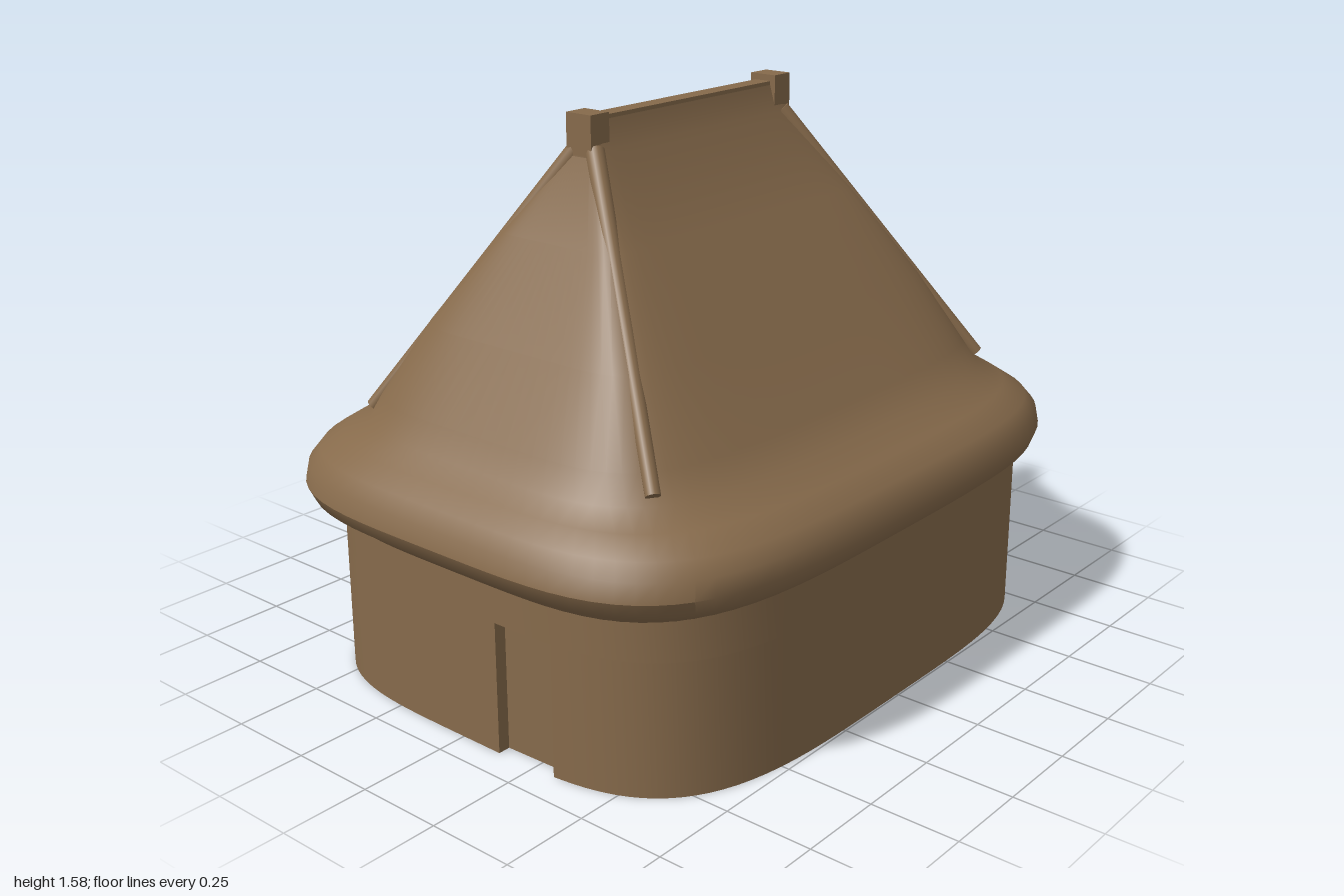
import * as THREE from 'three';
import { toCreasedNormals } from 'three/addons/utils/BufferGeometryUtils.js';

const clay = new THREE.MeshStandardMaterial({ color: 0x866a4b });
clay.name = 'brown clay';

// Point on a rounded rectangle: side 0 front, 1 +x, 2 back, 3 -x; p runs -1..1 along it
function outline(side, p, hw, hd, n) {
  const [u, v] = [[p, 1], [1, -p], [-p, -1], [-1, p]][side];
  const s = 1 / Math.pow(Math.abs(u) ** n + Math.abs(v) ** n, 1 / n);
  return [u * s * hw, v * s * hd];
}

// Extruded wall whose outline is cut by door recesses [side, start, end]
function wallGeometry(y0, y1, doors) {
  const inward = [[0, -1], [-1, 0], [0, 1], [1, 0]];
  const depth = 0.035;
  const shapePoints = [];
  for (let side = 0; side < 4; side++) {
    const cuts = doors.filter(d => d[0] === side);
    const stops = [];
    for (let i = 0; i < 32; i++) {
      const p = -1 + i / 16;
      if (!cuts.some(([, a, b]) => p >= a && p <= b)) stops.push([p, 0]);
    }
    for (const [, a, b] of cuts) stops.push([a, 0], [a, depth], [b, depth], [b, 0]);
    stops.sort((s, t) => s[0] - t[0]);
    for (const [p, inset] of stops) {
      const [x, z] = outline(side, p, 0.73, 0.915, 4);
      shapePoints.push(new THREE.Vector2(x + inward[side][0] * inset + 0.015, -(z + inward[side][1] * inset)));
    }
  }
  const g = new THREE.ExtrudeGeometry(new THREE.Shape(shapePoints), { depth: y1 - y0, bevelEnabled: false });
  g.rotateX(-Math.PI / 2).translate(0, y0, 0);
  return toCreasedNormals(g, 0.5);
}

// Skin over rounded-rectangle rings [y, half width, half depth, squareness]
function roofGeometry(rings, perSide = 24) {
  const count = perSide * 4, pos = [], index = [];
  rings.forEach(([y, hw, hd, n], r) => {
    for (let j = 0; j < count; j++) {
      const [x, z] = outline(Math.floor(j / perSide), -1 + 2 * (j % perSide) / perSide, hw, hd, n);
      pos.push(x - 0.012 * r / rings.length, y, z);
    }
    if (r === 0) return;
    for (let j = 0; j < count; j++) {
      const k = (j + 1) % count, a = (r - 1) * count, b = r * count;
      index.push(a + j, a + k, b + k, a + j, b + k, b + j);
    }
  });
  const g = new THREE.BufferGeometry();
  g.setAttribute('position', new THREE.Float32BufferAttribute(pos, 3));
  g.setIndex(index);
  return toCreasedNormals(g, 0.6);
}

export function createModel() {
  const model = new THREE.Group();
  const add = (name, geometry, x = 0, y = 0, z = 0, parent = model) => {
    const m = new THREE.Mesh(geometry, clay);
    m.name = name;
    m.position.set(x, y, z);
    parent.add(m);
    return m;
  };

  // Walls: lower band with door recesses, plain band above
  const doors = [
    [0, 0.16, 0.42],
    [2, -0.14, 0.02],
    [3, -0.48, -0.28], [3, -0.13, 0.08], [3, 0.24, 0.38],
  ];
  add('lowerWall', wallGeometry(0, 0.37, doors));
  add('upperWall', wallGeometry(0.37, 0.52, []));

  // Thatched roof: rounded eave, then hips that sharpen toward the ridge
  add('roof', roofGeometry([
    [0.46, 0.72, 0.905, 4],
    [0.49, 0.745, 0.94, 4],
    [0.52, 0.78, 0.982, 4],
    [0.56, 0.793, 1.0, 4],
    [0.61, 0.787, 0.988, 4],
    [0.65, 0.76, 0.958, 4],
    [0.69, 0.70, 0.908, 4],
    [0.73, 0.615, 0.855, 4.2],
    [0.80, 0.555, 0.81, 5],
    [1.0, 0.402, 0.685, 8],
    [1.25, 0.215, 0.535, 14],
    [1.47, 0.045, 0.415, 30],
    [1.55, 0.022, 0.40, 30],
    [1.552, 0.001, 0.38, 30],
  ]));

  // Ridge beam with a post at each end
  add('ridgeBeam', new THREE.BoxGeometry(0.052, 0.08, 0.76), -0.014, 1.52, 0);
  for (const s of [1, -1]) {
    add('ridgePost', new THREE.BoxGeometry(0.086, 0.12, 0.07), -0.014, s > 0 ? 1.51 : 1.518, s * 0.386);
    const foot = new THREE.CylinderGeometry(0.058, 0.075, 0.07, 4).rotateY(Math.PI / 4);
    add('postFoot', foot, -0.014, 1.455, s * 0.375);
  }

  // Tapered ribs along the four hips
  const up = new THREE.Vector3(0, 1, 0);
  for (const sx of [1, -1]) for (const sz of [1, -1]) {
    const top = new THREE.Vector3(sx * 0.03 - 0.012, 1.475, sz * 0.395);
    const end = new THREE.Vector3(sx * 0.505, 0.755, sz * 0.735);
    const dir = top.clone().sub(end);
    const mid = top.clone().add(end).multiplyScalar(0.5);
    const rib = add('hipRib', new THREE.CylinderGeometry(0.026, 0.02, dir.length(), 12), mid.x, mid.y, mid.z);
    rib.quaternion.setFromUnitVectors(up, dir.normalize());
  }

  // Small lamps between the side doors
  for (const z of [-0.2, 0.17, 0.41]) {
    const lamp = new THREE.Group();
    lamp.name = 'wallLamp';
    add('lampBracket', new THREE.CylinderGeometry(0.028, 0.008, 0.09, 8), -0.722, 0.245, z, lamp).rotation.z = 0.35;
    add('lampHead', new THREE.BoxGeometry(0.035, 0.045, 0.035), -0.727, 0.308, z, lamp);
    model.add(lamp);
  }

  // Arched hood over the back door
  const hood = add('backDoorHood', new THREE.TorusGeometry(0.06, 0.014, 8, 16, Math.PI), 0.06, 0.345, -0.912);
  hood.scale.y = 0.8;

  return model;
}
